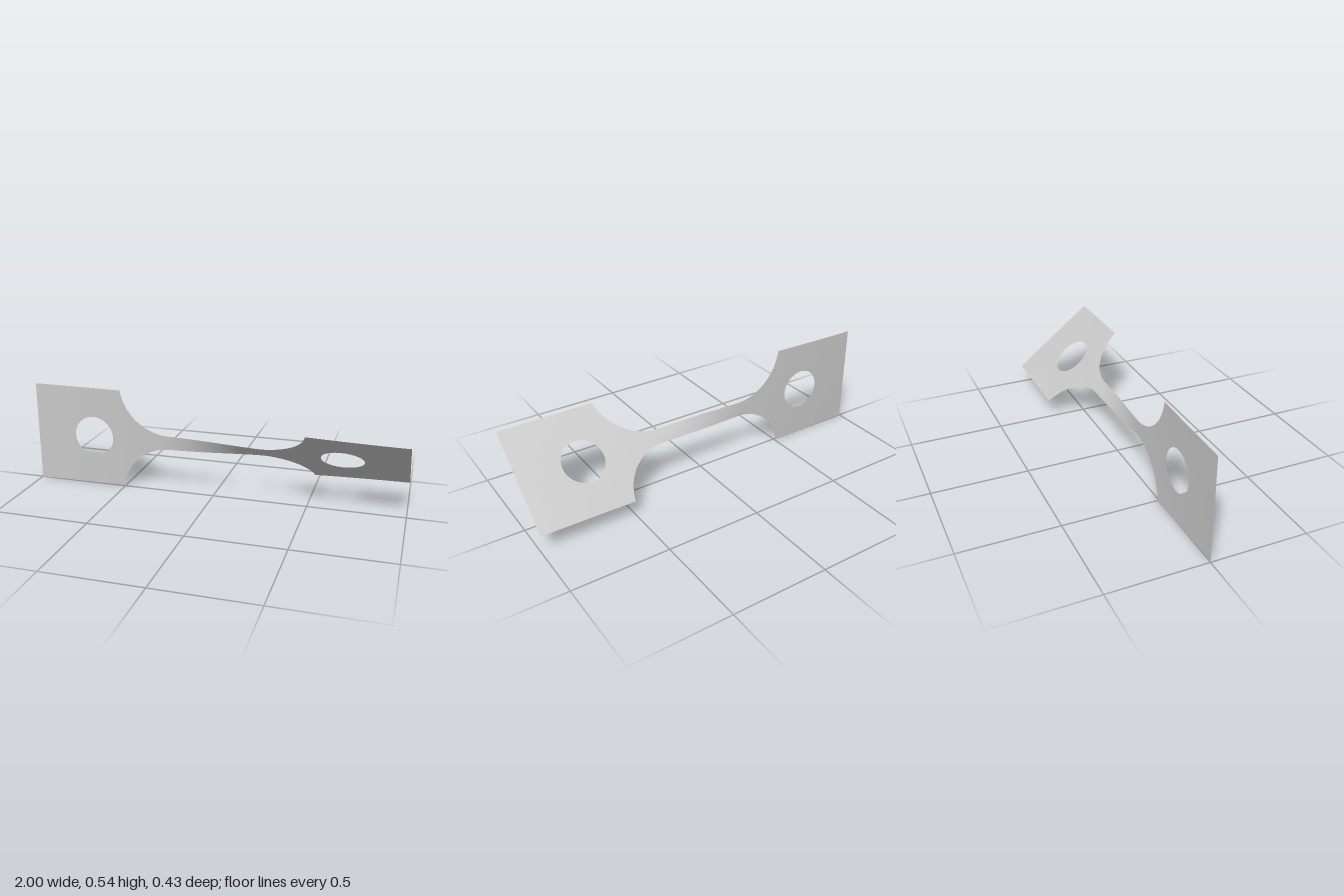
import * as THREE from 'three';

const AXIS_Y = 0.271;   // height of the twist axis
const HALF = 0.271;     // half height of the end tabs
const NECK = 0.038;     // half height of the narrow strip
const HOLE_X = 0.67, HOLE_R = 0.109;
const FILLET_R = 0.27, FILLET_X = 0.24, FILLET_Y = NECK + FILLET_R;

// Half height of the outline
function outline(x) {
  const d = Math.abs(x) - FILLET_X;
  if (d <= 0) return NECK;
  if (d >= FILLET_R) return HALF;
  return Math.min(HALF, FILLET_Y - Math.sqrt(FILLET_R ** 2 - d * d));
}

// Half height of the round hole
function hole(x) {
  const d = Math.abs(x) - HOLE_X;
  return Math.sqrt(Math.max(0, HOLE_R ** 2 - d * d));
}

// Twist angle: almost all of it happens along the narrow strip
function twist(x) {
  const a = Math.abs(x);
  const deg = a < 0.28 ? 22 * Math.sin((a / 0.28) * 1.25) / Math.sin(1.25)
    : 22 + 4.1 * (1 - ((1 - a) / 0.72) ** 1.6);
  return THREE.MathUtils.degToRad(26 + Math.sign(x) * deg);
}

// Column positions, closer together on the curves
function columns() {
  const half = [];
  for (let i = 1; i <= 16; i++) half.push(FILLET_X * i / 16);
  const end = Math.asin(Math.sqrt(FILLET_R ** 2 - (FILLET_Y - HALF) ** 2) / FILLET_R);
  for (let i = 1; i <= 20; i++) half.push(FILLET_X + FILLET_R * Math.sin(end * i / 20));
  for (let i = 0; i <= 32; i++) half.push(HOLE_X - HOLE_R * Math.cos(Math.PI * i / 32));
  for (let i = 1; i <= 6; i++) half.push(HOLE_X + HOLE_R + (1 - HOLE_X - HOLE_R) * i / 6);
  return [...half.map(x => -x).reverse(), 0, ...half];
}

// One half of the sheet, above (side 1) or below (side -1) the axis
function sheetHalf(side) {
  const pos = [], idx = [];
  const xs = columns();
  const rows = 4;
  xs.forEach((x, i) => {
    const a = twist(x);
    for (let j = 0; j <= rows; j++) {
      const r = side * THREE.MathUtils.lerp(hole(x), outline(x), j / rows);
      pos.push(x, AXIS_Y + r * Math.cos(a), r * Math.sin(a));
      if (i === 0 || j === 0) continue;
      const d = i * (rows + 1) + j, c = d - 1, b = d - rows - 1, e = b - 1;
      if (side > 0) idx.push(e, c, d, e, d, b);
      else idx.push(e, d, c, e, b, d);
    }
  });
  const geo = new THREE.BufferGeometry();
  geo.setAttribute('position', new THREE.Float32BufferAttribute(pos, 3));
  geo.setIndex(idx);
  geo.computeVertexNormals();
  return geo;
}

export function createModel() {
  const group = new THREE.Group();
  group.name = 'twistedStrap';
  const metal = new THREE.MeshStandardMaterial({ color: 0xc8c8c8, side: THREE.DoubleSide });
  metal.name = 'light grey metal';
  for (const side of [1, -1]) {
    const mesh = new THREE.Mesh(sheetHalf(side), metal);
    mesh.name = side > 0 ? 'upperSheet' : 'lowerSheet';
    group.add(mesh);
  }
  return group;
}
